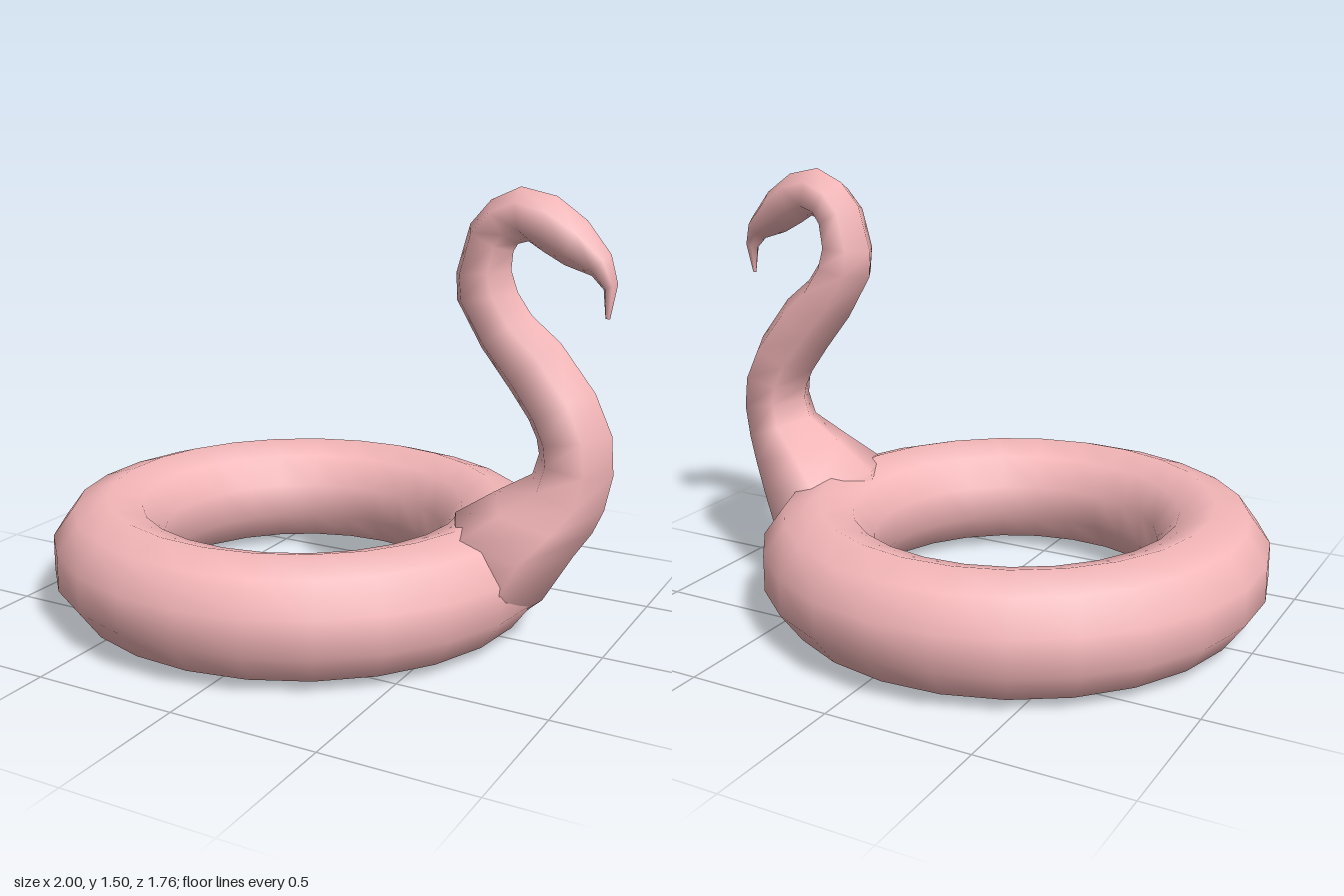
import * as THREE from 'three';
import { mergeVertices } from 'three/addons/utils/BufferGeometryUtils.js';

const pink = new THREE.MeshStandardMaterial({ color: 0xf4b6b8 });

// Tube ring: ten-sided section, seam on the inner side, smooth normals
function makeRing() {
  const R = 0.69, r = 0.203, profile = [];
  for (let i = 0; i <= 10; i++) {
    const a = -Math.PI + Math.PI / 10 + (i / 10) * Math.PI * 2;
    profile.push(new THREE.Vector2(R + r * Math.cos(a), r + r * Math.sin(a)));
  }
  let geo = new THREE.LatheGeometry(profile, 25, Math.PI / 2);
  geo.deleteAttribute('uv');
  geo.deleteAttribute('normal');
  geo = mergeVertices(geo, 1e-4);
  geo.computeVertexNormals();
  const mesh = new THREE.Mesh(geo, pink);
  mesh.name = 'floatRing';
  mesh.position.x = -0.127;
  return mesh;
}

// Neck sections: inner edge x, y, outer edge x, y, half width
const sections = [
  [0.50, 0.08, 0.68, 0.06, 0.20],
  [0.44, 0.25, 0.78, 0.15, 0.26],
  [0.46, 0.405, 0.88, 0.32, 0.23],
  [0.60, 0.50, 0.94, 0.41, 0.17],
  [0.73, 0.58, 0.975, 0.49, 0.125],
  [0.75, 0.65, 1.00, 0.61, 0.115],
  [0.74, 0.70, 0.99, 0.74, 0.112],
  [0.71, 0.76, 0.93, 0.87, 0.108],
  [0.64, 0.855, 0.81, 1.02, 0.10],
  [0.54, 0.98, 0.71, 1.10, 0.095],
  [0.45, 1.13, 0.66, 1.17, 0.09],
  [0.445, 1.22, 0.635, 1.24, 0.087],
  [0.49, 1.38, 0.64, 1.30, 0.083],
  [0.56, 1.46, 0.655, 1.325, 0.08],
  [0.66, 1.505, 0.69, 1.335, 0.08],
  [0.78, 1.48, 0.74, 1.305, 0.074],
  [0.88, 1.41, 0.81, 1.268, 0.06],
  [0.96, 1.31, 0.90, 1.24, 0.04],
  [0.985, 1.22, 0.94, 1.20, 0.022],
  [0.965, 1.11, 0.95, 1.11, 0.004],
];

// Neck, head and beak: hexagonal sections lofted along the S-curve
function makeNeck() {
  const sides = 6, midZ = -0.02, pos = [], idx = [];
  sections.forEach(([ix, iy, ox, oy, w], row) => {
    for (let k = 0; k < sides; k++) {
      const a = (k / sides) * Math.PI * 2;
      const t = 0.5 + 0.5 * Math.cos(a);
      pos.push(ix + (ox - ix) * t, iy + (oy - iy) * t,
        midZ + (w * Math.sin(a)) / Math.sin(Math.PI / 3));
      if (row === sections.length - 1) continue;
      const p = row * sides + k, q = row * sides + ((k + 1) % sides);
      idx.push(p, p + sides, q, q, p + sides, q + sides);
    }
  });
  // Close the beak tip
  const tip = (sections.length - 1) * sides;
  for (let k = 1; k < sides - 1; k++) idx.push(tip, tip + k + 1, tip + k);
  const geo = new THREE.BufferGeometry();
  geo.setAttribute('position', new THREE.Float32BufferAttribute(pos, 3));
  geo.setIndex(idx);
  geo.computeVertexNormals();
  const mesh = new THREE.Mesh(geo, pink);
  mesh.name = 'neckAndHead';
  return mesh;
}

export function createModel() {
  const group = new THREE.Group();
  group.name = 'birdPoolFloat';
  group.add(makeRing(), makeNeck());
  return group;
}
